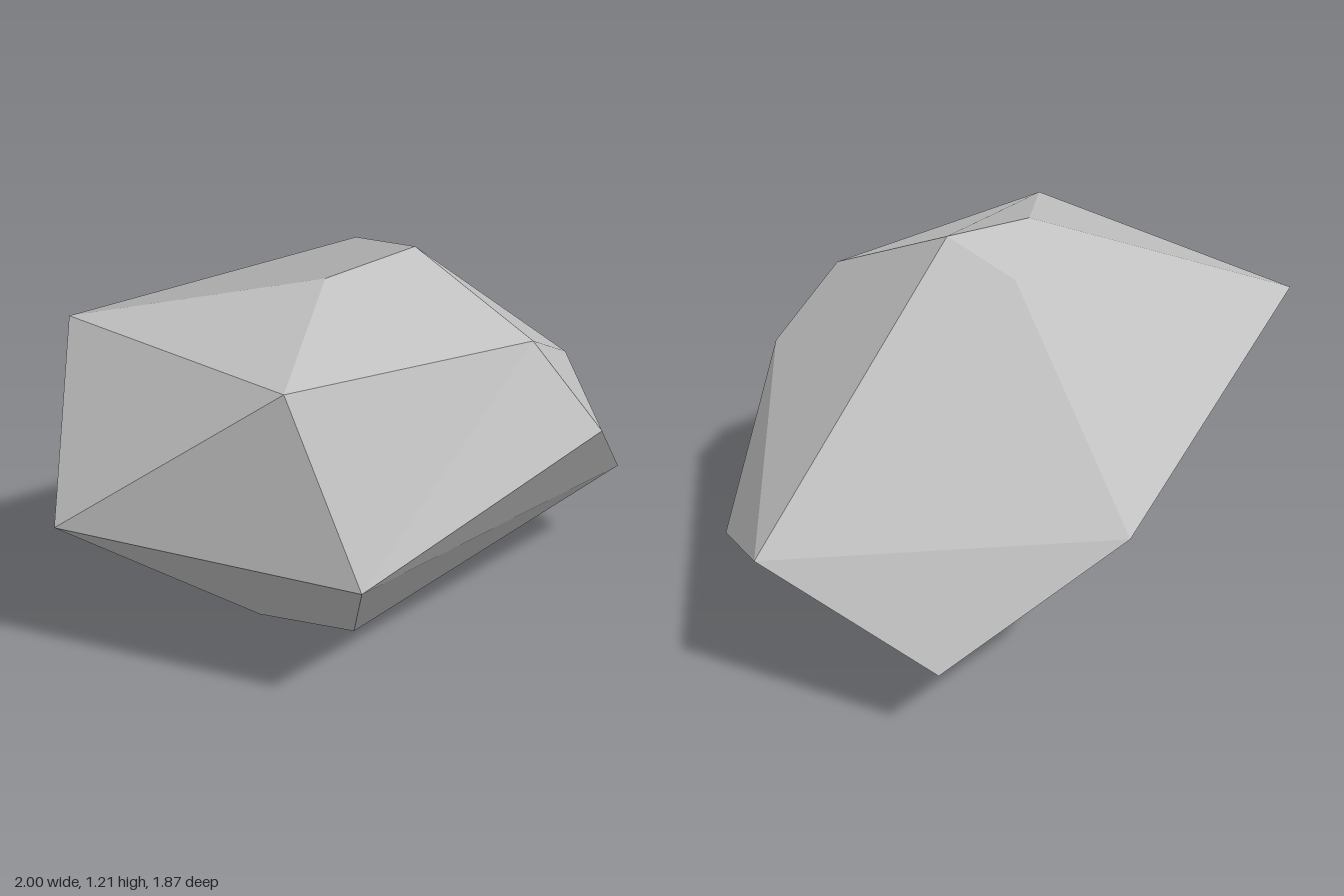
import * as THREE from 'three';

// Corners of the boulder, from the crown down to the foot
const corners = {
  G: [0.21, 1.21, 0.04], H: [-0.12, 1.17, 0.19], I: [0.09, 1.17, -0.26],
  A: [-0.88, 0.98, -0.22], C: [-0.37, 1.02, 0.76], E: [0.475, 1.0, 0.435], F: [0.69, 0.71, 0.505],
  B: [-1, 0.49, 0.335], D: [-0.19, 0.467, 0.93], K: [1, 0.33, -0.045],
  J: [1, 0.575, -0.595], M: [0.555, 0.28, -0.91], L: [-0.015, 0.635, -0.935],
  Q: [-0.345, 0.02, 0.17], O: [-0.06, 0, 0.32], P: [0.39, 0.05, 0], R: [-0.03, 0.02, -0.18],
};

// Facets as rings of corners; each is one flat-shaded polygon fanned from its first corner
const facets = [
  'AHGIL', 'GJLI', 'LJM', 'EFJG', 'JFK', 'CEGH', 'AHC', // crown and shoulders
  'ABC', 'BDC', 'CDE', 'DFE', 'DFK', 'JKM', 'ALB', // sides
  'BDOQ', 'KPOD', 'MKPR', 'LBQR', 'LRM', 'OPRQ', // underside
];

function facetedGeometry() {
  const centre = new THREE.Vector3(0, 0.6, 0);
  const positions = [];
  const normals = [];
  for (const ring of facets) {
    const points = [...ring].map((key) => new THREE.Vector3(...corners[key]));
    const triangles = [];
    const normal = new THREE.Vector3();
    for (let i = 1; i < points.length - 1; i++) {
      const [a, b, c] = [points[0], points[i], points[i + 1]];
      triangles.push([a, b, c]);
      normal.add(b.clone().sub(a).cross(c.clone().sub(a)));
    }
    // Turn the facet outward
    if (normal.dot(points[0].clone().sub(centre)) < 0) {
      normal.negate();
      triangles.forEach((t) => t.reverse());
    }
    normal.normalize();
    for (const p of triangles.flat()) {
      positions.push(p.x, p.y, p.z);
      normals.push(normal.x, normal.y, normal.z);
    }
  }
  const geometry = new THREE.BufferGeometry();
  geometry.setAttribute('position', new THREE.Float32BufferAttribute(positions, 3));
  geometry.setAttribute('normal', new THREE.Float32BufferAttribute(normals, 3));
  return geometry;
}

export function createModel() {
  const stone = new THREE.MeshStandardMaterial({ color: 0xc0c0c0, side: THREE.DoubleSide });
  stone.name = 'stone grey';

  const rock = new THREE.Mesh(facetedGeometry(), stone);
  rock.name = 'rock';

  const group = new THREE.Group();
  group.name = 'boulder';
  group.add(rock);
  return group;
}
